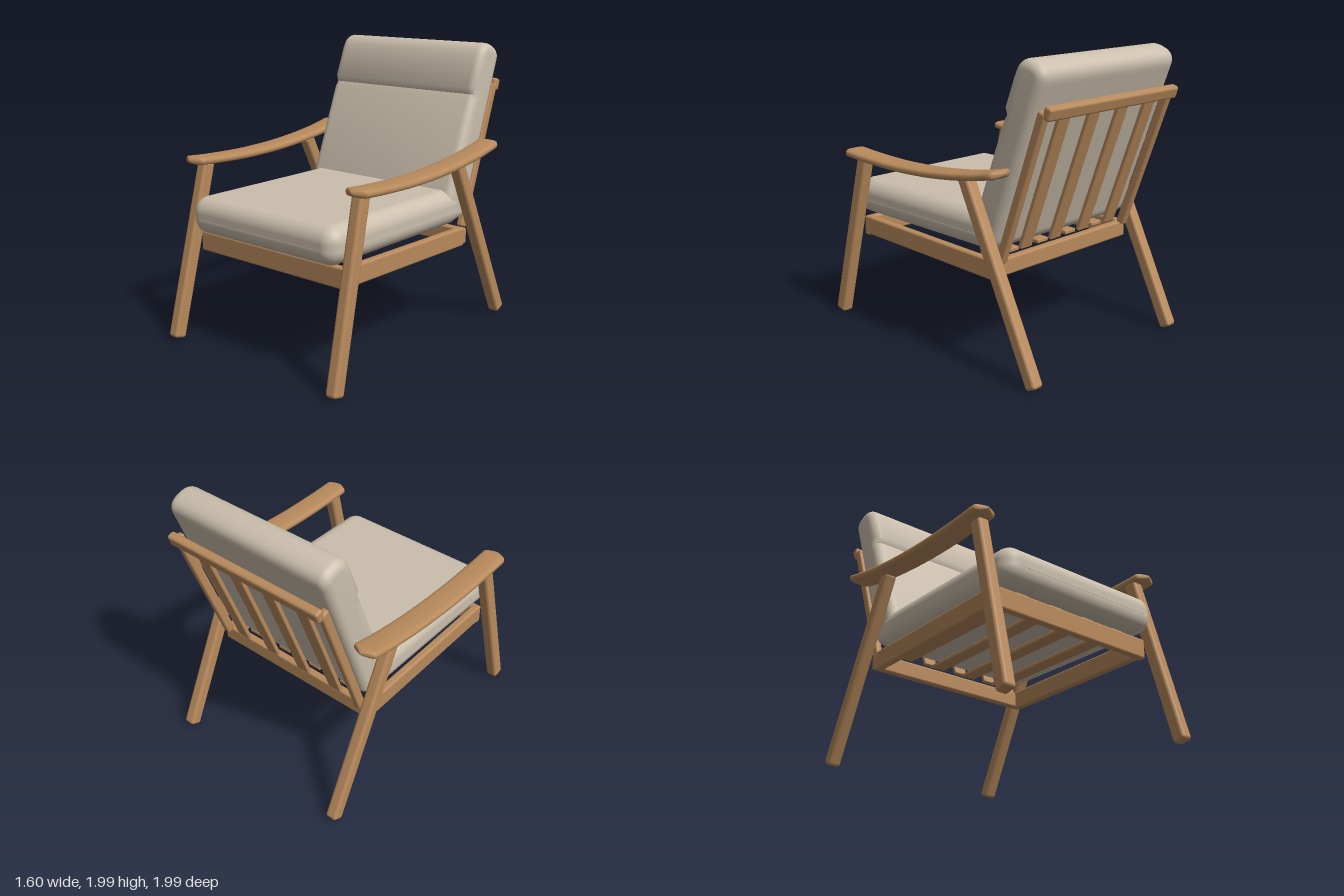
import * as THREE from 'three';
import { toCreasedNormals } from 'three/addons/utils/BufferGeometryUtils.js';
import { RoundedBoxGeometry } from 'three/addons/geometries/RoundedBoxGeometry.js';

const wood = new THREE.MeshStandardMaterial({ color: 0xb88a5c });
const fabric = new THREE.MeshStandardMaterial({ color: 0xcbbfad });

export function createModel() {
  const chair = new THREE.Group();
  chair.name = 'loungeChair';

  const add = (name, geometry, material, x = 0, y = 0, z = 0) => {
    const mesh = new THREE.Mesh(geometry, material);
    mesh.name = name;
    mesh.position.set(x, y, z);
    chair.add(mesh);
    return mesh;
  };

  // Rounded wooden bar from a to b: w across (x), d deep
  const bar = (name, a, b, w, d, r = 0.015) => {
    const from = new THREE.Vector3(...a), to = new THREE.Vector3(...b);
    const dir = to.clone().sub(from);
    const mesh = add(name, new RoundedBoxGeometry(w, dir.length(), d, 3, r), wood);
    const yAxis = dir.normalize();
    const zAxis = new THREE.Vector3(1, 0, 0).cross(yAxis).normalize();
    const xAxis = yAxis.clone().cross(zAxis);
    mesh.quaternion.setFromRotationMatrix(new THREE.Matrix4().makeBasis(xAxis, yAxis, zAxis));
    mesh.position.copy(from.add(to).multiplyScalar(0.5));
  };

  // Legs, armrests, side rails and back stiles, mirrored
  const armrest = armrestGeometry();
  for (const [side, s] of [['left', 1], ['right', -1]]) {
    bar(side + 'FrontLeg', [s * 0.722, 0.012, 0.952], [s * 0.687, 1.215, 0.66], 0.085, 0.095, 0.022);
    bar(side + 'BackLeg', [s * 0.682, 0.022, -0.947], [s * 0.682, 1.25, -0.345], 0.085, 0.09, 0.022);
    add(side + 'Armrest', armrest, wood, s * 0.715);
    bar(side + 'SeatRail', [s * 0.622, 0.665, -0.53], [s * 0.622, 0.688, 0.74], 0.055, 0.133);
    bar(side + 'BackStile', [s * 0.595, 0.72, -0.571], [s * 0.595, 1.7, -0.92], 0.05, 0.065);
  }

  // Cross rails
  add('frontRail', new RoundedBoxGeometry(1.3, 0.14, 0.055, 3, 0.015), wood, 0, 0.682, 0.733);
  add('backRail', new RoundedBoxGeometry(1.3, 0.115, 0.055, 3, 0.015), wood, 0, 0.667, -0.533);
  const topRail = add('topRail', new RoundedBoxGeometry(1.235, 0.085, 0.06, 3, 0.018), wood, 0, 1.695, -0.955);
  topRail.rotation.x = -0.34;

  // Seat slats and back slats
  for (const x of [-0.41, -0.137, 0.137, 0.41]) {
    bar('seatSlat', [x, 0.738, -0.5], [x, 0.75, 0.745], 0.1, 0.028, 0.008);
    bar('backSlat', [x, 0.78, -0.595], [x, 1.68, -0.916], 0.1, 0.03, 0.008);
  }

  // Seat cushion with a thin seam near its underside
  add('seatCushion', new RoundedBoxGeometry(1.284, 0.255, 1.4, 7, 0.105), fabric, 0, 0.888, 0.17);
  add('frontSeam', new THREE.BoxGeometry(1.07, 0.005, 1.404), fabric, 0, 0.868, 0.17);
  add('sideSeam', new THREE.BoxGeometry(1.288, 0.005, 1.1), fabric, 0, 0.868, 0.17);

  add('backCushion', backCushionGeometry(), fabric);
  return chair;
}

// Sagging armrest lofted from oval sections, pointed at both ends
function armrestGeometry() {
  const points = [[1.235, 0.79], [1.222, 0.6], [1.213, 0.25], [1.23, -0.12], [1.275, -0.48], [1.328, -0.73]];
  const curve = new THREE.CatmullRomCurve3(points.map(([y, z]) => new THREE.Vector3(0, y, z)));
  const rings = 40, sides = 20;
  const stops = [0, 0.004, 0.012, 0.02, 0.027, 0.035];
  const ts = [...stops];
  for (let i = 1; i < rings; i++) ts.push(0.035 + 0.93 * i / rings);
  ts.push(...stops.map(t => 1 - t).reverse());

  const positions = [], index = [];
  ts.forEach((t, i) => {
    const p = curve.getPointAt(t);
    const e = Math.min(1, Math.min(t, 1 - t) / 0.03);
    const halfWidth = 0.086 * e, halfHeight = 0.028 * Math.sqrt(e);
    for (let j = 0; j < sides; j++) {
      const a = j / sides * Math.PI * 2, c = Math.cos(a), s = Math.sin(a);
      positions.push(
        halfWidth * Math.sign(c) * Math.abs(c) ** 0.5,
        p.y + halfHeight * Math.sign(s) * Math.abs(s) ** 0.7,
        p.z);
      if (i === ts.length - 1) continue;
      const k = i * sides, n = (j + 1) % sides;
      index.push(k + j, k + sides + j, k + n, k + n, k + sides + j, k + sides + n);
    }
  });
  const geometry = new THREE.BufferGeometry();
  geometry.setAttribute('position', new THREE.Float32BufferAttribute(positions, 3));
  geometry.setIndex(index);
  return toCreasedNormals(geometry, 0.8);
}

// Back cushion: side profile (z, y) with a headrest fold, extruded across the chair
function backCushionGeometry() {
  const shape = new THREE.Shape();
  shape.moveTo(-0.44, 0.8);
  shape.quadraticCurveTo(-0.32, 0.86, -0.365, 1.0);
  shape.lineTo(-0.605, 1.62);
  shape.lineTo(-0.63, 1.655);
  shape.lineTo(-0.617, 1.7);
  shape.lineTo(-0.695, 1.9);
  shape.quadraticCurveTo(-0.742, 2.03, -0.86, 1.985);
  shape.quadraticCurveTo(-0.975, 1.945, -0.925, 1.84);
  shape.lineTo(-0.575, 0.86);
  shape.quadraticCurveTo(-0.545, 0.77, -0.44, 0.8);

  const bevel = 0.06, width = 1.276;
  const geometry = new THREE.ExtrudeGeometry(shape, {
    depth: width - 2 * bevel, curveSegments: 8,
    bevelSize: bevel, bevelThickness: bevel, bevelOffset: -bevel, bevelSegments: 6,
  });
  geometry.translate(0, 0, bevel - width / 2);
  geometry.rotateY(-Math.PI / 2);
  return toCreasedNormals(geometry, 0.7);
}
